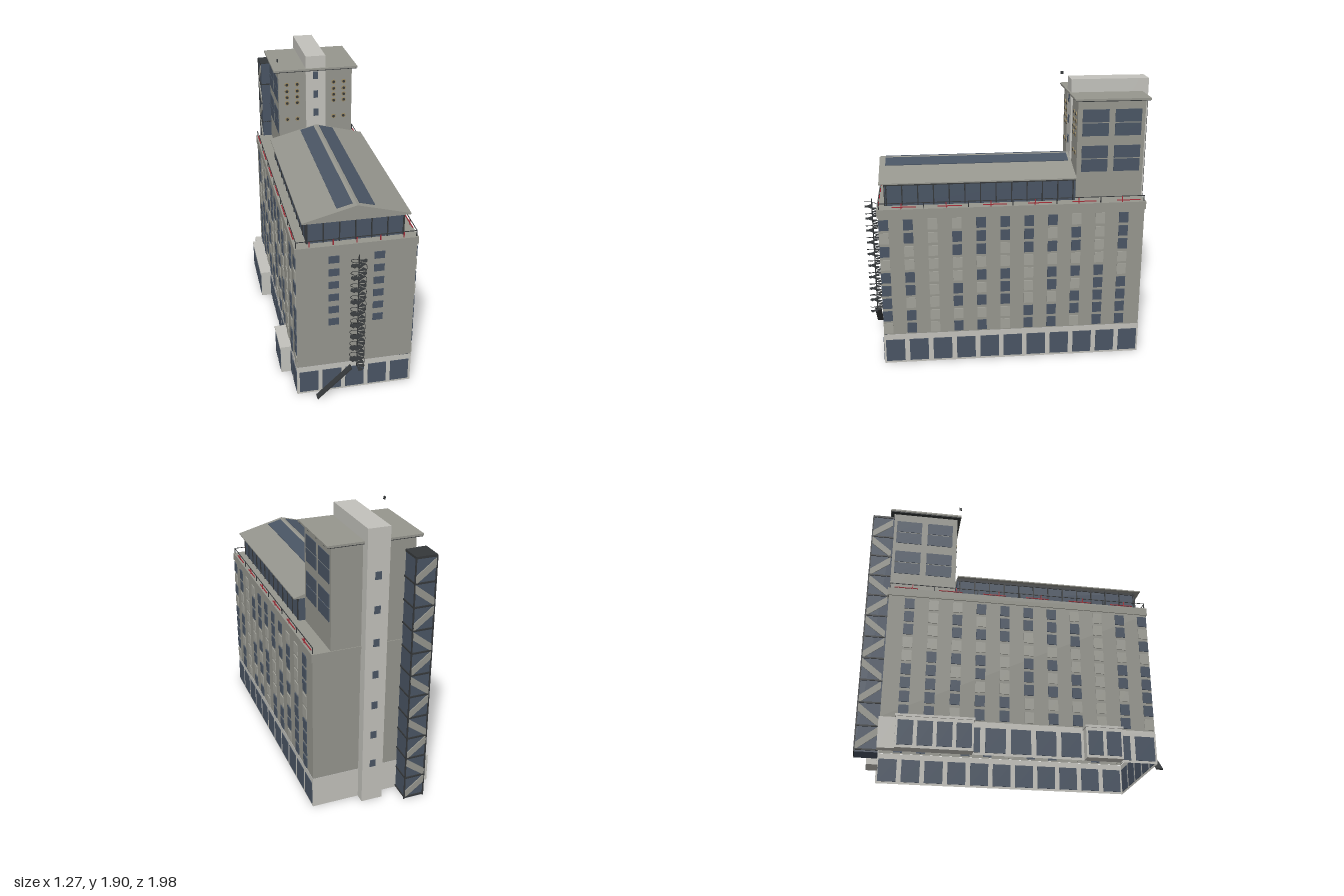
import * as THREE from 'three';
import { mergeGeometries } from 'three/addons/utils/BufferGeometryUtils.js';

const paint = (name, color, side = THREE.FrontSide) => {
  const m = new THREE.MeshStandardMaterial({ color, side });
  m.name = name;
  return m;
};

// Box given by its extents
const span = (x0, x1, y0, y1, z0, z1) =>
  new THREE.BoxGeometry(x1 - x0, y1 - y0, z1 - z0)
    .translate((x0 + x1) / 2, (y0 + y1) / 2, (z0 + z1) / 2);

// Four walls without floor or ceiling
const shell = (w, d, y0, y1) => {
  const g = new THREE.CylinderGeometry(Math.SQRT1_2, Math.SQRT1_2, y1 - y0, 4, 1, true)
    .rotateY(Math.PI / 4).scale(w, 1, d).translate(0, (y0 + y1) / 2, 0).toNonIndexed();
  g.computeVertexNormals();
  return g;
};

// Thin panes set through a wall facing x or z
const T = 0.004;
const paneX = (x, y, z, h, w) => span(x - T, x + T, y - h / 2, y + h / 2, z - w / 2, z + w / 2);
const paneZ = (x, y, z, h, w) => span(x - w / 2, x + w / 2, y - h / 2, y + h / 2, z - T, z + T);

export function createModel() {
  const wall = paint('concrete', 0x96968e, THREE.DoubleSide);
  const light = paint('pale render', 0xc3c2bc, THREE.DoubleSide);
  const glass = paint('blue glass', 0x4a5564);
  const blind = paint('closed blind', 0xa2a29a);
  const dark = paint('dark metal', 0x35383a, THREE.DoubleSide);
  const red = paint('red railing', 0xa32b36);
  const tan = paint('tan ornament', 0x9c8a62);

  const root = new THREE.Group();
  root.name = 'building';
  const block = new THREE.Group();
  block.name = 'rotatedBlock';
  block.rotation.y = 0.2585;
  block.position.set(0.0235, 0, -0.0235);
  root.add(block);

  const add = (name, mat, geos) => {
    const g = mergeGeometries(geos.map(q => (q.index ? q.toNonIndexed() : q)));
    const mesh = new THREE.Mesh(g, mat);
    mesh.name = name;
    block.add(mesh);
  };

  const W = 0.387, D = 0.892;

  // Main body, open underneath
  add('groundFloor', light, [shell(2 * W + 0.006, 2 * D + 0.006, 0, 0.218)]);
  add('upperWalls', wall, [shell(2 * W, 2 * D, 0.218, 1.08)]);
  add('roofSlab', wall, [span(-0.394, 0.394, 1.075, 1.13, -0.9, 0.9)]);

  // Long-side windows
  const panes = [], blinds = [], shopPanes = [];
  for (const s of [-1, 1]) {
    for (let c = 0; c < 11; c++) {
      for (let r = 0; r < 9; r++) {
        const closed = (c * 7 + r * 5 + c * r * 3) % 11 < 4;
        (closed ? blinds : panes).push(
          paneX(s * (W + 0.002), 0.265 + r * 0.0945, 0.859 - c * 0.161, 0.074, 0.064));
      }
      shopPanes.push(paneX(s * (W + 0.003), 0.097, (c - 5) * 0.1635, 0.162, 0.13));
    }
    // Front windows
    for (let r = 0; r < 6; r++)
      panes.push(paneZ(s * 0.146, 0.56 + r * 0.0935, D + 0.002, 0.05, 0.068));
  }
  for (let c = -2; c <= 2; c++) shopPanes.push(paneZ(c * 0.155, 0.097, D + 0.003, 0.162, 0.126));
  add('windows', glass, panes);
  add('blindWindows', blind, blinds);
  add('groundFloorGlazing', glass, shopPanes);

  // Entrance annexes on the right side
  const annexes = [], annexGlass = [], annexRoofs = [];
  for (const [x, z0, z1, n] of [[-0.465, -0.795, -0.31, 4], [-0.46, 0.41, 0.65, 2]]) {
    annexes.push(span(x, -0.385, 0, 0.2, z0, z1));
    annexRoofs.push(span(x - 0.006, -0.385, 0.2, 0.215, z0 - 0.006, z1 + 0.006));
    const step = (z1 - z0) / n;
    for (let i = 0; i < n; i++)
      annexGlass.push(paneX(x, 0.097, z0 + (i + 0.5) * step, 0.16, step - 0.025));
  }
  annexes.push(span(-0.438, -0.385, 0, 0.2, -0.9, -0.795));
  add('annexes', light, annexes);
  add('annexRoofs', light, annexRoofs);
  add('annexGlazing', glass, annexGlass);

  // Penthouse: glazed walls, mullions and gable roof
  add('penthouseWalls', glass, [span(-0.31, 0.31, 1.13, 1.285, -0.43, 0.845)]);
  const mullions = [];
  for (const s of [-1, 1]) {
    for (let i = 0; i <= 12; i++)
      mullions.push(span(s * 0.312 - 0.004, s * 0.312 + 0.004, 1.13, 1.285, -0.417 + i * 0.104, -0.409 + i * 0.104));
    mullions.push(span(s * 0.312 - 0.003, s * 0.312 + 0.003, 1.268, 1.285, -0.43, 0.845));
  }
  for (let i = -3; i <= 3; i++)
    mullions.push(span(i * 0.102 - 0.004, i * 0.102 + 0.004, 1.13, 1.285, 0.843, 0.85));
  add('penthouseMullions', dark, mullions);

  const eave = 0.343, eaveY = 1.285, ridgeY = 1.383;
  const gable = new THREE.Shape([[-eave, eaveY], [eave, eaveY], [eave, eaveY + 0.008], [0, ridgeY], [-eave, eaveY + 0.008]]
    .map(p => new THREE.Vector2(...p)));
  add('penthouseRoof', wall,
    [new THREE.ExtrudeGeometry(gable, { depth: 1.31, bevelEnabled: false }).translate(0, 0, -0.43)]);
  const slope = (ridgeY - eaveY - 0.008) / eave;
  add('skylights', glass, [-1, 1].map(s =>
    new THREE.BoxGeometry(0.104, 0.006, 1.25).rotateZ(-s * Math.atan(slope))
      .translate(s * 0.07, ridgeY - 0.07 * slope + 0.001, 0.215)));

  // Roof railing
  const rails = [], posts = [];
  for (const s of [-1, 1]) {
    const x = s * 0.383;
    rails.push(span(x - 0.002, x + 0.002, 1.168, 1.172, -0.89, 0.89));
    for (let i = 0; i <= 12; i++) {
      const z = -0.885 + i * 0.1475;
      (i % 2 ? posts : rails).push(span(x - 0.003, x + 0.003, 1.13, 1.17, z - 0.003, z + 0.003));
    }
    for (let i = 0; i < 6; i++)
      posts.push(span(x - 0.003, x + 0.003, 1.14, 1.145, -0.86 + i * 0.3, -0.7 + i * 0.3));
  }
  rails.push(span(-0.383, 0.383, 1.168, 1.172, 0.886, 0.89));
  for (let i = -2; i <= 2; i++)
    posts.push(span(i * 0.15 - 0.003, i * 0.15 + 0.003, 1.13, 1.17, 0.885, 0.891));
  add('roofRailing', dark, rails);
  add('railingPosts', red, posts);

  // Tower wings with roof plates
  add('towerWings', wall, [span(-0.27, 0.27, 1.13, 1.805, -0.895, -0.44)]);
  add('towerRoof', wall, [span(-0.305, 0.305, 1.803, 1.816, -0.92, -0.415)]);
  add('towerRoofEdge', dark, [span(-0.3, 0.3, 1.797, 1.803, -0.915, -0.42)]);
  const towerPanes = [];
  for (const s of [-1, 1])
    for (const z of [-0.561, -0.781])
      for (const y of [1.357, 1.45, 1.603, 1.696])
        towerPanes.push(paneX(s * 0.27, y, z, 0.086, 0.178));
  add('towerWindows', glass, towerPanes);

  // Central shaft, full height at the back
  add('liftShaft', light, [span(-0.072, 0.072, 0, 1.905, -0.96, -0.885), span(-0.072, 0.072, 1.13, 1.905, -0.9, -0.428)]);
  const shaftPanes = [1.48, 1.62, 1.763].map(y => paneZ(0, y, -0.428, 0.055, 0.036));
  for (let i = 0; i < 7; i++) shaftPanes.push(paneZ(0, 0.29 + i * 0.22, -0.96, 0.05, 0.04));
  add('shaftWindows', glass, shaftPanes);

  // Round ornaments on the wing fronts
  const disc = (r, x, y, z) => new THREE.CylinderGeometry(r, r, 0.006, 12).rotateX(Math.PI / 2).translate(x, y, z);
  const rims = [], eyes = [];
  for (const x of [-0.21, -0.135, 0.135, 0.21])
    for (const y of [1.435, 1.56, 1.605, 1.65, 1.7]) {
      rims.push(disc(0.016, x, y, -0.438));
      eyes.push(disc(0.01, x, y, -0.436));
    }
  add('ornamentRims', tan, rims);
  add('ornamentCentres', dark, eyes);

  // Glazed stair tower with zigzag flights
  add('stairTowerGlass', glass, [span(-0.335, -0.205, 0, 1.72, -1.033, -0.89)]);
  const frame = [span(-0.34, -0.2, 1.71, 1.725, -1.038, -0.89)];
  for (const x of [-0.338, -0.202]) frame.push(span(x - 0.004, x + 0.004, 0, 1.72, -1.04, -1.032));
  const flights = [];
  for (let i = 0; i < 11; i++) {
    const y = 0.01 + i * 0.154, up = i % 2 ? 1 : -1;
    const wedge = new THREE.Shape([[-0.066 * up, y], [0.066 * up, y + 0.1], [0.066 * up, y + 0.154], [-0.066 * up, y + 0.05]]
      .map(p => new THREE.Vector2(...p)));
    const plate = new THREE.ExtrudeGeometry(wedge, { depth: 0.007, bevelEnabled: false });
    flights.push(plate.clone().translate(-0.27, 0, -1.04));
    flights.push(plate.rotateY(Math.PI / 2).translate(-0.341, 0, -0.966));
    frame.push(span(-0.341, -0.199, y, y + 0.01, -1.041, -0.89));
  }
  add('stairTowerFrame', dark, frame);
  add('stairTowerFlights', wall, flights);

  // Spiral escape stair and its lower straight flight
  const steps = [], path = [], cz = 0.953;
  for (let i = 0; i < 74; i++) {
    const a = i * Math.PI / 4, y = 0.22 + i * 0.01125;
    steps.push(new THREE.CylinderGeometry(0.05, 0.05, 0.004, 2, 1, false, a, Math.PI / 4).translate(0, y, cz));
    path.push(new THREE.Vector3(Math.sin(a) * 0.05, y + 0.03, cz + Math.cos(a) * 0.05));
  }
  steps.push(new THREE.CylinderGeometry(0.004, 0.004, 0.86, 6).translate(0, 0.65, cz));
  add('spiralStair', dark, steps);
  add('spiralHandrail', dark, [new THREE.TubeGeometry(new THREE.CatmullRomCurve3(path), 296, 0.002, 4)]);
  add('lowerFlight', dark, [new THREE.BoxGeometry(0.315, 0.008, 0.045)
    .rotateZ(Math.atan2(0.215, 0.225)).translate(-0.153, 0.113, cz)]);

  // Small roof beacon
  add('beacon', dark, [span(-0.28, -0.272, 1.88, 1.9, -0.43, -0.41)]);

  return root;
}
